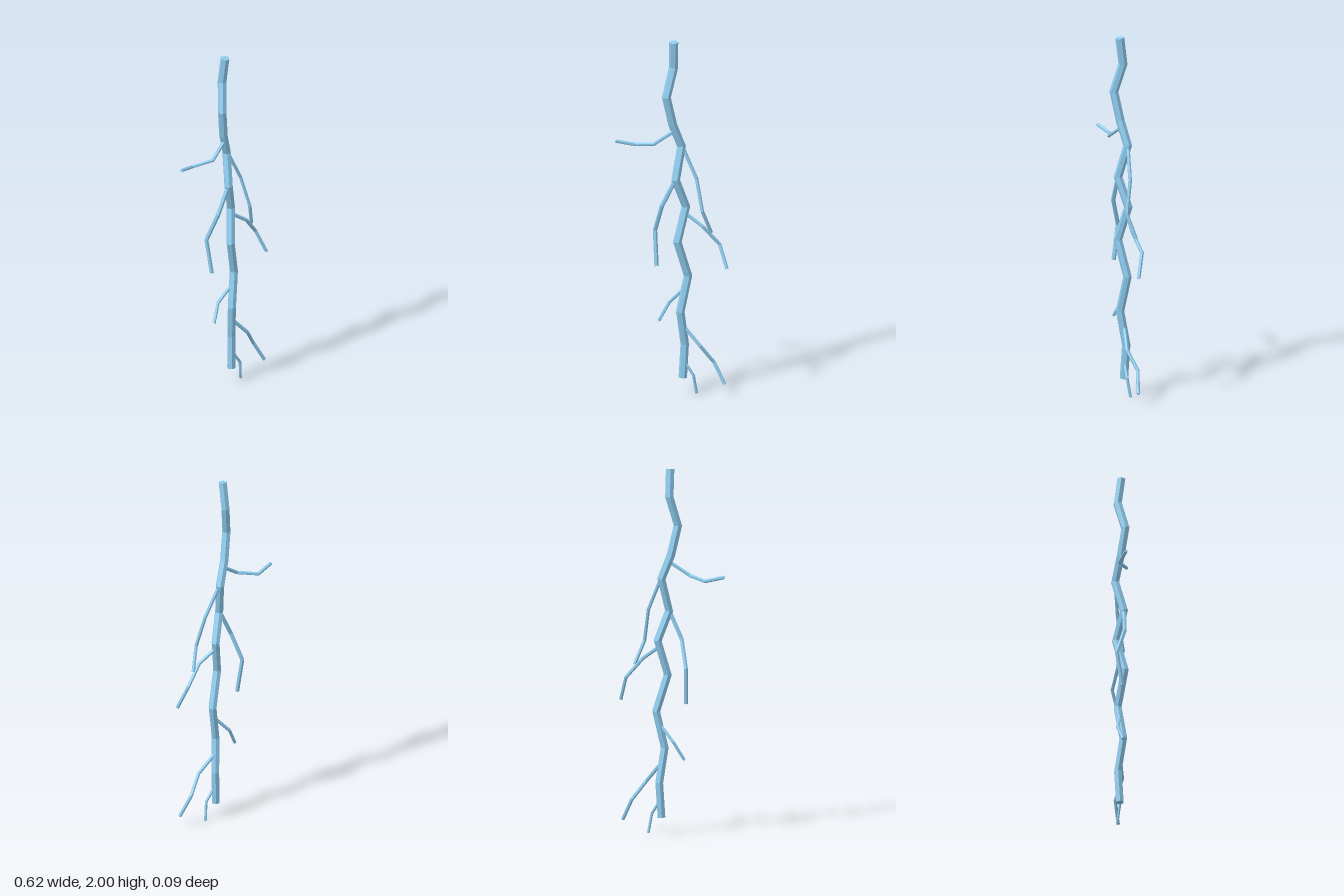
import * as THREE from 'three';

const SIDES = 6;

// Sweeps a capped hexagonal rod along a jagged path, with mitred bends.
function boltGeometry(path, startRadius, endRadius) {
  const points = path.map((p) => new THREE.Vector3(...p));
  const last = points.length - 1;
  const zAxis = new THREE.Vector3(0, 0, 1);
  const positions = [];
  const index = [];

  points.forEach((point, i) => {
    const incoming = point.clone().sub(points[Math.max(i - 1, 0)]).normalize();
    const outgoing = points[Math.min(i + 1, last)].clone().sub(point).normalize();
    const tangent = incoming.add(outgoing).normalize();
    const side = tangent.clone().cross(zAxis).normalize();
    const up = tangent.clone().cross(side);
    const radius = THREE.MathUtils.lerp(startRadius, endRadius, i / last);
    for (let j = 0; j < SIDES; j++) {
      const a = (j / SIDES) * Math.PI * 2;
      const v = point.clone()
        .addScaledVector(side, Math.cos(a) * radius)
        .addScaledVector(up, Math.sin(a) * radius);
      positions.push(v.x, v.y, v.z);
    }
  });

  // Walls
  for (let i = 0; i < last; i++) {
    for (let j = 0; j < SIDES; j++) {
      const a = i * SIDES + j;
      const b = i * SIDES + ((j + 1) % SIDES);
      index.push(a, b, b + SIDES, a, b + SIDES, a + SIDES);
    }
  }
  // End caps
  const end = last * SIDES;
  for (let j = 1; j < SIDES - 1; j++) {
    index.push(0, j + 1, j, end, end + j, end + j + 1);
  }

  const geometry = new THREE.BufferGeometry();
  geometry.setAttribute('position', new THREE.Float32BufferAttribute(positions, 3));
  geometry.setIndex(index);
  geometry.computeVertexNormals();
  return geometry;
}

const BOLTS = [
  // Main channel, from top to bottom
  { name: 'mainBolt', radii: [0.025, 0.023], path: [
    [0.007, 2, 0.005], [0.003, 1.85, -0.015], [-0.03, 1.69, 0.025], [0, 1.53, 0],
    [0.045, 1.4, -0.026], [0.02, 1.22, 0.02], [0.07, 1.06, -0.02], [0.03, 0.87, 0.025],
    [0.083, 0.67, -0.01], [0.045, 0.47, 0.018], [0.065, 0.28, -0.01], [0.056, 0.09, 0]] },
  // Side branches, from the highest to the lowest
  { name: 'upperRightBranch', radii: [0.01, 0.01], path: [
    [0.005, 1.49, 0], [-0.1, 1.42, 0.027], [-0.21, 1.4, -0.018], [-0.31, 1.424, 0.013]] },
  { name: 'upperLeftBranch', radii: [0.01, 0.01], path: [
    [0.05, 1.4, -0.025], [0.13, 1.225, -0.008], [0.167, 1.05, 0.025], [0.21, 0.92, -0.012]] },
  { name: 'middleRightBranch', radii: [0.012, 0.012], path: [
    [0.018, 1.22, 0.02], [-0.055, 1.07, 0.02], [-0.1, 0.915, -0.025], [-0.087, 0.72, 0.005]] },
  { name: 'middleLeftBranch', radii: [0.01, 0.01], path: [
    [0.065, 1.025, -0.015], [0.165, 0.955, -0.003], [0.253, 0.85, -0.03], [0.3, 0.722, 0.008]] },
  { name: 'lowerRightBranch', radii: [0.009, 0.009], path: [
    [0.065, 0.6, 0], [-0.022, 0.508, -0.018], [-0.075, 0.41, 0.01]] },
  { name: 'lowerLeftBranch', radii: [0.01, 0.01], path: [
    [0.06, 0.385, 0], [0.155, 0.28, 0.02], [0.225, 0.18, -0.015], [0.287, 0.065, 0.005]] },
  { name: 'bottomLeftBranch', radii: [0.008, 0.008], path: [
    [0.06, 0.19, 0], [0.115, 0.107, 0.004], [0.13, 0.001, -0.01]] },
];

export function createModel() {
  const model = new THREE.Group();
  model.name = 'lightningBolt';
  const material = new THREE.MeshStandardMaterial({ color: 0x8fcdf0, flatShading: true });
  for (const { name, radii, path } of BOLTS) {
    const mesh = new THREE.Mesh(boltGeometry(path, ...radii), material);
    mesh.name = name;
    model.add(mesh);
  }
  return model;
}
